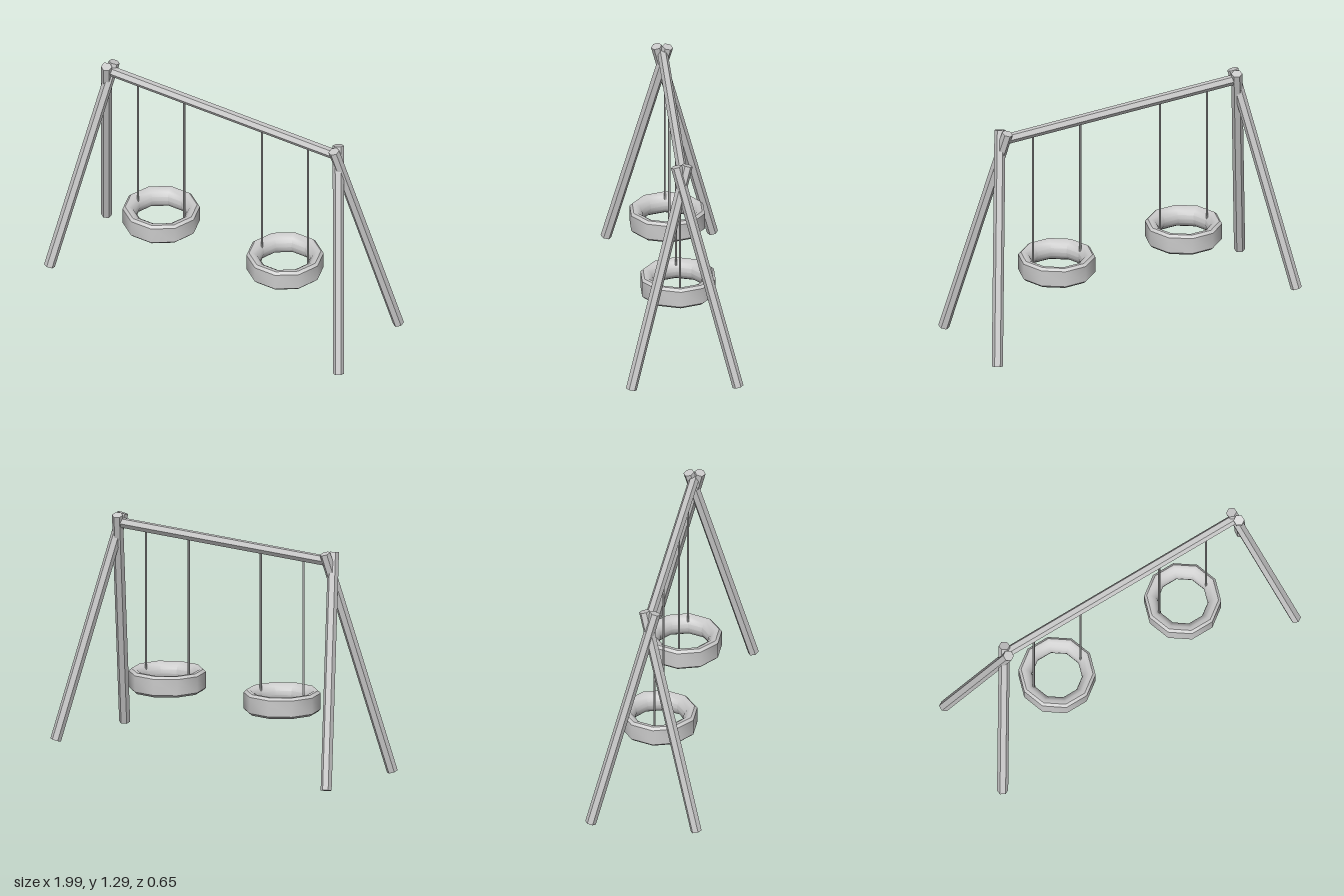
import * as THREE from 'three';
import { toCreasedNormals } from 'three/addons/utils/BufferGeometryUtils.js';

const material = new THREE.MeshStandardMaterial({ color: 0xcccccc });
const UP = new THREE.Vector3(0, 1, 0);

// Straight pole between two points
function pole(name, from, to, radius, sides) {
  const a = new THREE.Vector3(...from);
  const dir = new THREE.Vector3(...to).sub(a);
  const geometry = new THREE.CylinderGeometry(radius, radius, dir.length(), sides);
  const mesh = new THREE.Mesh(toCreasedNormals(geometry, 0.9), material);
  mesh.name = name;
  mesh.position.copy(a).addScaledVector(dir, 0.5);
  mesh.quaternion.setFromUnitVectors(UP, dir.normalize());
  return mesh;
}

// Ten-sided tyre: flat tread, bevelled shoulders, rounded inner side
function tyreGeometry() {
  const profile = [
    [0.2, -0.06], [0.215, -0.046], [0.215, 0.046], [0.2, 0.06],
    [0.178, 0.058], [0.158, 0.045], [0.144, 0.024], [0.139, 0],
    [0.144, -0.024], [0.158, -0.045], [0.178, -0.058], [0.2, -0.06],
  ].map(([r, y]) => new THREE.Vector2(r, y));
  const geometry = new THREE.LatheGeometry(profile, 10);
  geometry.rotateY(Math.PI / 2);
  return toCreasedNormals(geometry, 0.68);
}

export function createModel() {
  const model = new THREE.Group();
  model.name = 'tyreSwingSet';

  // Crossed legs at both ends
  for (const side of [1, -1]) {
    const end = side > 0 ? 'left' : 'right';
    model.add(pole(`${end}FrontLeg`, [side * 0.96, 0.008, 0.297], [side * 0.744, 1.277, -0.031], 0.031, 6));
    model.add(pole(`${end}BackLeg`, [side * 0.97, 0.008, -0.297], [side * 0.755, 1.277, 0.031], 0.031, 6));
  }

  // Top beam
  model.add(pole('topBeam', [-0.75, 1.23, -0.004], [0.75, 1.23, -0.004], 0.029, 6));

  // Two swings, each a tyre on two ropes
  const tyre = tyreGeometry();
  for (const [name, x] of [['leftSwing', 0.408], ['rightSwing', -0.415]]) {
    const swing = new THREE.Group();
    swing.name = name;
    swing.position.set(x, 0, -0.004);
    const seat = new THREE.Mesh(tyre, material);
    seat.name = 'tyreSeat';
    seat.position.y = 0.385;
    swing.add(seat);
    for (const s of [1, -1]) {
      swing.add(pole('rope', [s * 0.153, 0.41, 0], [s * 0.153, 1.22, 0], 0.006, 6));
    }
    model.add(swing);
  }
  return model;
}
